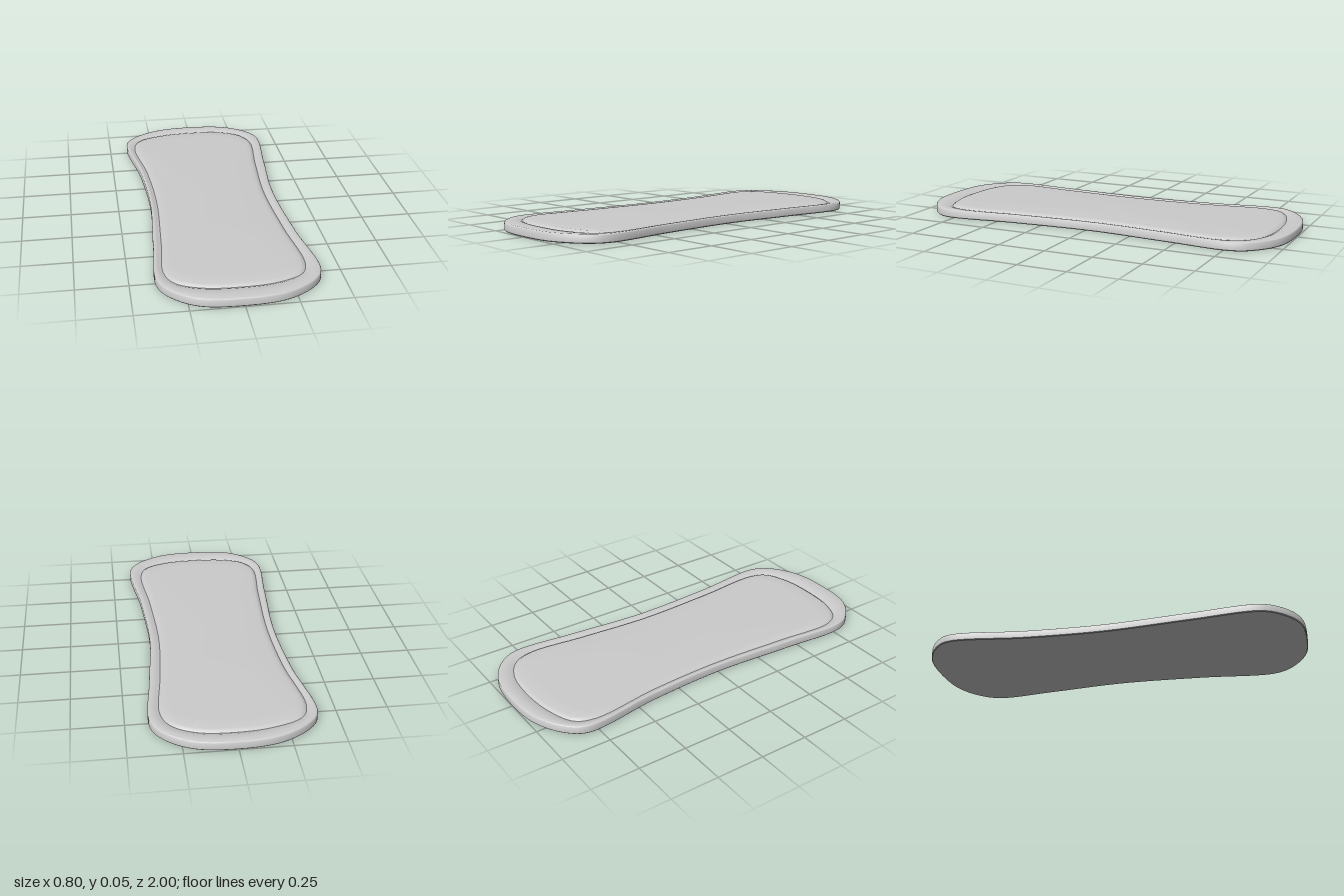
import * as THREE from 'three';
import { toCreasedNormals } from 'three/addons/utils/BufferGeometryUtils.js';

// Outlines as x, z pairs, clockwise from above, starting at the back
const OUTER = [
  [0, -1], [0.2, -0.975], [0.33, -0.89], [0.385, -0.79], [0.365, -0.45], [0.335, -0.05], [0.358, 0.4],
  [0.395, 0.79], [0.345, 0.885], [0.2, 0.975], [0, 0.998], [-0.2, 0.975], [-0.32, 0.89], [-0.375, 0.79],
  [-0.36, 0.45], [-0.333, 0], [-0.353, -0.4], [-0.4, -0.8], [-0.345, -0.89], [-0.2, -0.975],
];
const GROOVE = [
  [0, -0.915], [0.18, -0.895], [0.29, -0.83], [0.333, -0.73], [0.31, -0.42], [0.287, -0.05], [0.307, 0.37],
  [0.335, 0.72], [0.3, 0.815], [0.17, 0.875], [0, 0.89], [-0.17, 0.875], [-0.29, 0.82], [-0.335, 0.73],
  [-0.318, 0.42], [-0.298, 0], [-0.315, -0.38], [-0.358, -0.74], [-0.32, -0.835], [-0.18, -0.895],
];
const SAMPLES = 240;

function sample(points) {
  const curve = new THREE.CatmullRomCurve3(points.map(([x, z]) => new THREE.Vector3(x, 0, z)), true);
  return Array.from({ length: SAMPLES }, (_, i) => curve.getPoint(i / SAMPLES));
}

// Moves a closed outline inwards by d and lifts it to height y
function inset(ring, d, y) {
  return ring.map((p, i) => {
    const t = ring[(i + 1) % SAMPLES].clone().sub(ring[(i + SAMPLES - 1) % SAMPLES]).normalize();
    return new THREE.Vector3(p.x - t.z * d, y, p.z + t.x * d);
  });
}

const blend = (a, b, k, y) => a.map((p, i) => p.clone().lerp(b[i], k).setY(y));
const shrink = (ring, k, y) => ring.map((p) => new THREE.Vector3(p.x * k, y, p.z * k));

// Joins a list of rings, from the underside centre round to the top centre
function loft(rings) {
  const pos = [], index = [];
  rings.forEach((ring) => ring.forEach((p) => pos.push(p.x, p.y, p.z)));
  for (let r = 0; r < rings.length - 1; r++) {
    for (let i = 0; i < SAMPLES; i++) {
      const j = (i + 1) % SAMPLES;
      const a = r * SAMPLES + i, b = r * SAMPLES + j;
      const c = a + SAMPLES, d = b + SAMPLES;
      if (r > 0) index.push(a, c, b);
      if (r === 0) index.push(a, c, d);
      else if (r < rings.length - 2) index.push(b, c, d);
    }
  }
  const geo = new THREE.BufferGeometry();
  geo.setAttribute('position', new THREE.Float32BufferAttribute(pos, 3));
  geo.setIndex(index);
  return toCreasedNormals(geo, 0.75);
}

export function createModel() {
  const group = new THREE.Group();
  group.name = 'contouredPad';
  const material = new THREE.MeshStandardMaterial({ color: 0xcccccc });
  const outer = sample(OUTER), groove = sample(GROOVE);
  const rimOuter = inset(outer, 0.009, 0), rimInner = inset(groove, -0.016, 0);
  const padEdge = inset(groove, 0.022, 0.045);

  const body = new THREE.Mesh(loft([
    // underside
    shrink(outer, 0, 0),
    inset(outer, 0.004, 0),
    // side wall with softened edges
    inset(outer, 0, 0.004),
    inset(outer, 0, 0.037),
    inset(outer, 0.003, 0.041),
    // rim
    inset(outer, 0.009, 0.043),
    blend(rimOuter, rimInner, 0.5, 0.0425),
    blend(rimOuter, rimInner, 1, 0.04),
    // groove
    inset(groove, -0.007, 0.036),
    inset(groove, 0, 0.034),
    inset(groove, 0.005, 0.037),
    inset(groove, 0.012, 0.0425),
    // raised centre panel
    padEdge,
    shrink(padEdge, 0.92, 0.0465),
    shrink(padEdge, 0, 0.047),
  ]), material);
  body.name = 'padBody';
  group.add(body);
  return group;
}
